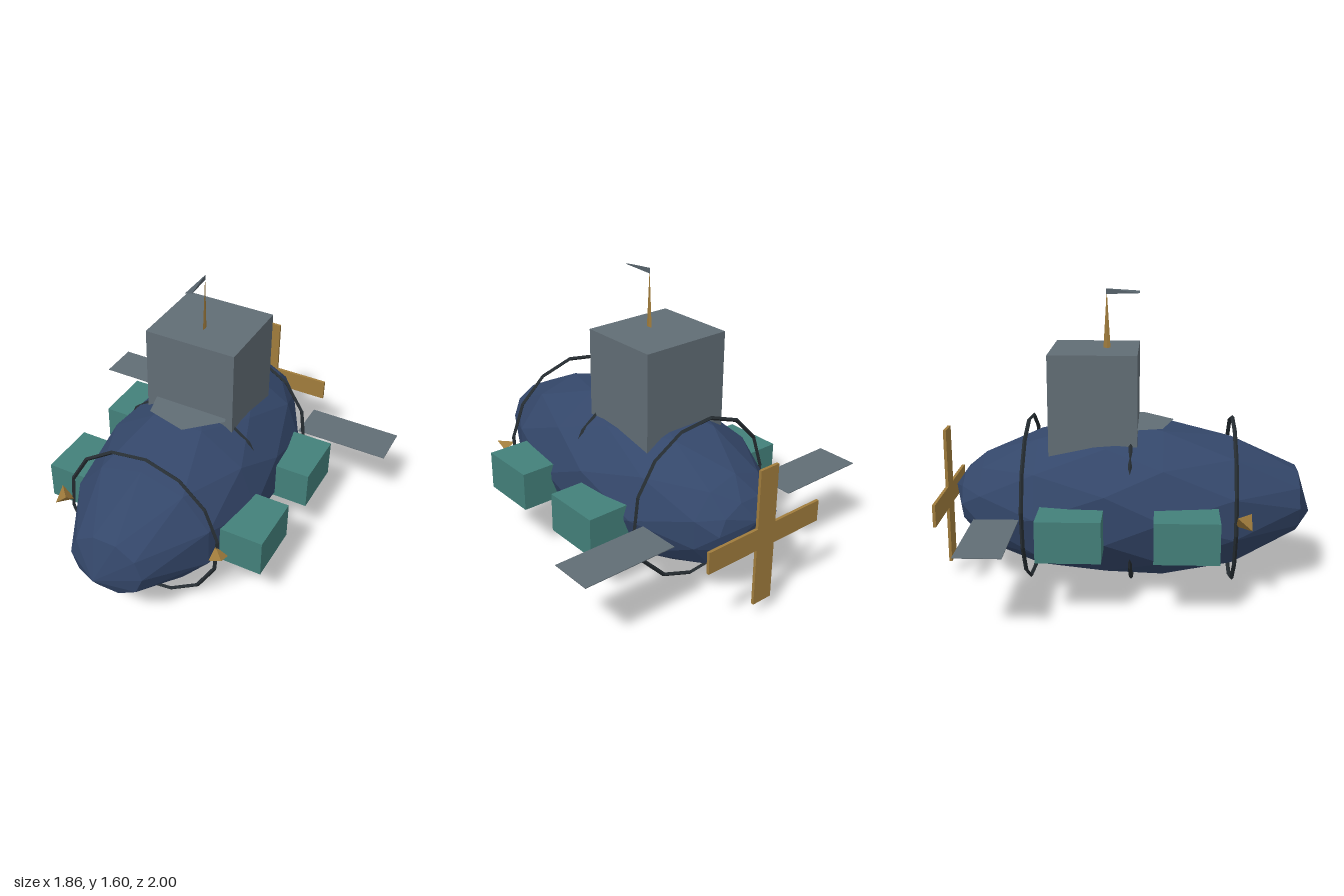
import * as THREE from 'three';

const mat = (color, double = false) => new THREE.MeshStandardMaterial({
  color, flatShading: true, side: double ? THREE.DoubleSide : THREE.FrontSide,
});

// Faceted hull lofted through staggered elliptical rings, closed by two tips
function hullGeometry() {
  const sides = 10;
  // z, half width, bottom y, top y
  const rings = [
    [0.93, 0.21, 0.29, 0.64],
    [0.57, 0.41, 0.105, 0.81],
    [0.2, 0.475, 0.04, 0.89],
    [-0.1, 0.48, 0.05, 0.885],
    [-0.47, 0.435, 0.09, 0.835],
    [-0.77, 0.28, 0.2, 0.71],
    [-0.88, 0.2, 0.32, 0.62],
  ];
  const pos = [];
  const index = [];
  rings.forEach(([z, rx, y0, y1], i) => {
    for (let j = 0; j < sides; j++) {
      const a = ((j + i / 2) / sides) * Math.PI * 2;
      pos.push(rx * Math.cos(a), (y0 + y1) / 2 + ((y1 - y0) / 2) * Math.sin(a), z);
    }
  });
  const nose = rings.length * sides;
  const tail = nose + 1;
  pos.push(-0.04, 0.4, 1, 0, 0.52, -0.945);
  const last = (rings.length - 1) * sides;
  for (let j = 0; j < sides; j++) {
    const k = (j + 1) % sides;
    index.push(nose, j, k, last + j, tail, last + k);
    for (let r = 0; r < last; r += sides) {
      const a = r + j, b = r + k, c = a + sides, d = b + sides;
      index.push(a, c, b, c, d, b);
    }
  }
  const g = new THREE.BufferGeometry();
  g.setAttribute('position', new THREE.Float32BufferAttribute(pos, 3));
  g.setIndex(index);
  g.computeVertexNormals();
  return g;
}

// Thin pennant: upright edge at the mast, level edge at the free end
function pennantGeometry() {
  const g = new THREE.BufferGeometry();
  g.setAttribute('position', new THREE.Float32BufferAttribute([
    0, 1.605, -0.108, 0, 1.575, -0.108, -0.02, 1.582, 0.07, 0.02, 1.592, 0.07,
  ], 3));
  g.setIndex([0, 2, 3, 1, 3, 2, 0, 1, 2, 0, 3, 1]);
  g.computeVertexNormals();
  return g;
}

export function createModel() {
  const group = new THREE.Group();
  const navy = mat(0x34476a);
  const teal = mat(0x43807a);
  const grey = mat(0x616d75, true);
  const brass = mat(0xa07c3c);
  const dark = mat(0x262d32);

  const add = (name, geometry, material, x = 0, y = 0, z = 0, parent = group) => {
    const m = new THREE.Mesh(geometry, material);
    m.name = name;
    m.position.set(x, y, z);
    parent.add(m);
    return m;
  };
  const box = (w, h, d) => new THREE.BoxGeometry(w, h, d);

  add('hull', hullGeometry(), navy);

  // Hoops around the hull; the middle one is mostly buried
  [0.575, 0.03, -0.525].forEach((z, i) => {
    const hoop = add('hullHoop', new THREE.TorusGeometry(0.447, 0.011, 4, 14), dark, 0, 0.462, z);
    hoop.rotation.z = 0.15 + i * 0.1;
  });

  // Conning tower with the deck plate showing in front
  add('tower', box(0.515, 0.57, 0.465), grey, 0, 1.005, -0.168);
  const plate = add('deckPlate', new THREE.CircleGeometry(0.235, 6), grey, 0, 0.887, 0.03);
  plate.rotation.set(-Math.PI / 2, 0, -1.31);

  // Mast and pennant
  const mast = add('mast', new THREE.ConeGeometry(0.019, 0.31, 4), brass, 0, 1.445, -0.105);
  mast.scale.x = 0.2;
  add('pennant', pennantGeometry(), mat(0x56626a, true));

  // Propeller of two crossed bars
  const propeller = new THREE.Group();
  propeller.name = 'propeller';
  propeller.position.set(0, 0.46, -0.99);
  group.add(propeller);
  add('bladePair', box(0.76, 0.12, 0.016), brass, 0, 0, 0, propeller);
  add('bladePair', box(0.12, 0.76, 0.016), brass, 0, 0, 0, propeller);

  for (const side of [1, -1]) {
    // Side tanks
    for (const z of [0.32, -0.268]) {
      add('sideTank', box(0.25, 0.215, 0.33), teal, side * 0.522, 0.423, z);
    }
    // Stern planes
    add('sternPlane', box(0.53, 0.004, 0.235), grey, side * 0.667, 0.453, -0.662);
    // Wedge-shaped bow lamps
    const lamp = add('bowLamp', new THREE.TetrahedronGeometry(Math.sqrt(3)), brass, side * 0.468, 0.479, 0.614);
    lamp.scale.set(0.036, side > 0 ? 0.016 : 0.034, 0.038);
  }
  return group;
}
